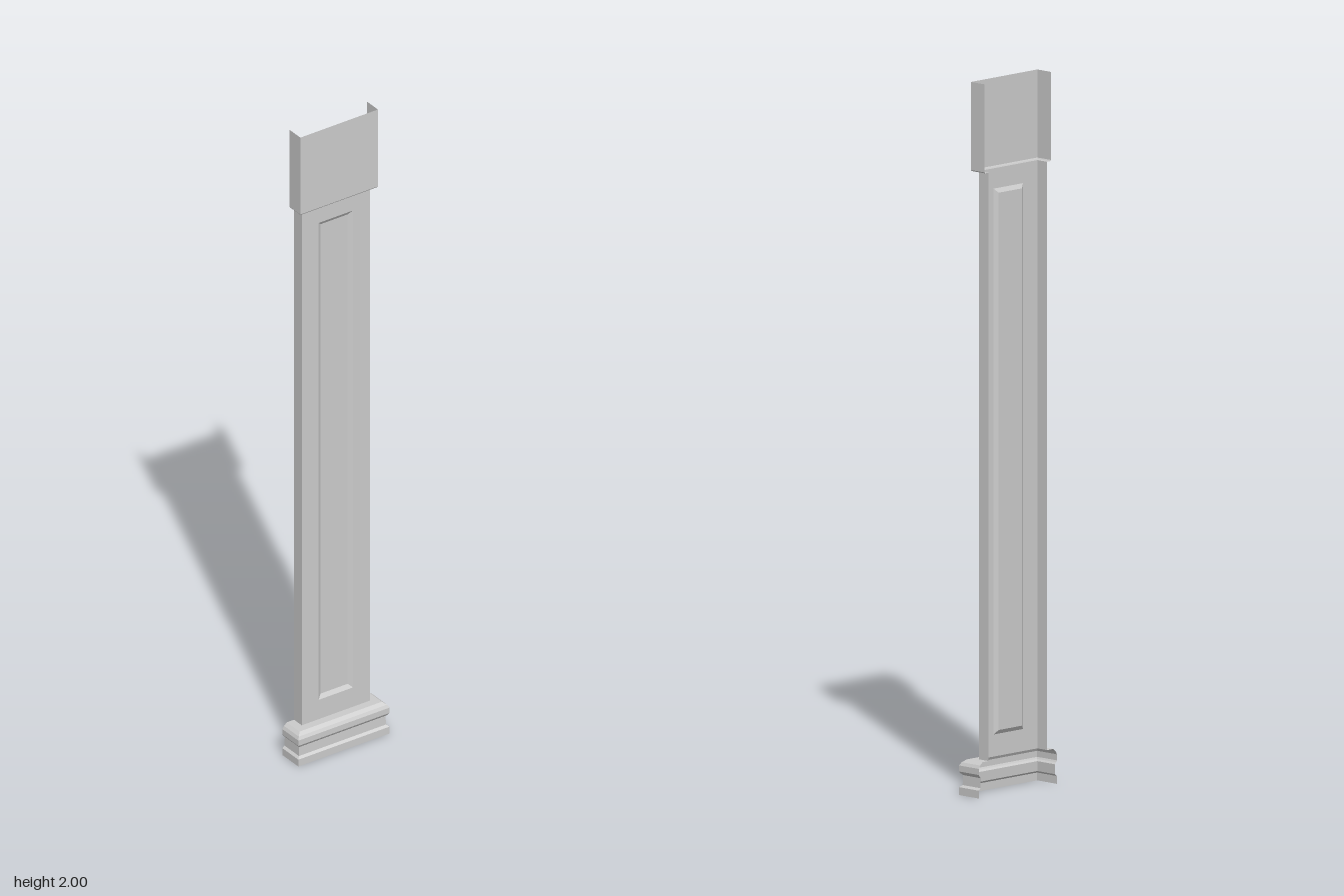
import * as THREE from 'three';

const BACK = -0.038, FRONT = -0.001, HALF = 0.115; // open back edge, shaft face, shaft half width

const material = new THREE.MeshStandardMaterial({ color: 0xcccccc, flatShading: true, side: THREE.DoubleSide });

function meshFromQuads(name, quads) {
  const pos = [];
  for (const [a, b, c, d] of quads) pos.push(...a, ...b, ...c, ...a, ...c, ...d);
  const geo = new THREE.BufferGeometry();
  geo.setAttribute('position', new THREE.Float32BufferAttribute(pos, 3));
  geo.computeVertexNormals();
  const mesh = new THREE.Mesh(geo, material);
  mesh.name = name;
  return mesh;
}

// U-shaped section wrapped around the shaft, grown outward by an offset
const uSection = (y, o) => [
  [BACK, y, HALF + o], [FRONT + o, y, HALF + o],
  [FRONT + o, y, -HALF - o], [BACK, y, -HALF - o],
];

// Rectangular ring on the front face
const ring = (x, z, y0, y1) => [[x, y0, z], [x, y0, -z], [x, y1, -z], [x, y1, z]];

// Quads joining two rows of points, bottom to top
function bridge(a, b, closed) {
  const quads = [];
  for (let i = 0; i < a.length - (closed ? 0 : 1); i++) {
    const j = (i + 1) % a.length;
    quads.push([a[i], a[j], b[j], b[i]]);
  }
  return quads;
}

// Mitred moulding from a profile of [height, offset] points
function moulding(name, profile) {
  const rows = profile.map(([y, o]) => uSection(y, o));
  return meshFromQuads(name, rows.slice(1).flatMap((row, i) => bridge(rows[i], row, false)));
}

export function createModel() {
  const group = new THREE.Group();
  group.name = 'pilaster';
  const bottom = 0.1, top = 1.75;

  // Stepped base moulding with a ledge meeting the shaft
  group.add(moulding('baseMoulding', [
    [0, 0.039], [0.022, 0.039], [0.028, 0.032], [0.056, 0.031], [0.061, 0.036],
    [0.066, 0.039], [0.083, 0.039], [0.092, 0.034], [0.1, 0.024], [0.1, 0],
  ]));

  // Shaft side walls
  const low = uSection(bottom, 0), high = uSection(top, 0);
  const walls = bridge(low, high, false);
  group.add(meshFromQuads('shaftSides', [walls[0], walls[2]]));

  // Shaft face framing the recessed panel
  const outer = ring(FRONT, HALF, bottom, top);
  const edge = ring(FRONT, 0.058, 0.162, 1.693);
  const inner = ring(FRONT - 0.008, 0.046, 0.174, 1.681);
  group.add(meshFromQuads('shaftFace', bridge(outer, edge, true)));
  group.add(meshFromQuads('panelBevel', bridge(edge, inner, true)));
  group.add(meshFromQuads('recessedPanel', [inner]));

  // Plain capital block, open at the top and back
  group.add(moulding('capital', [[top, 0], [top, 0.014], [top + 0.003, 0.016], [2, 0.016]]));

  return group;
}
